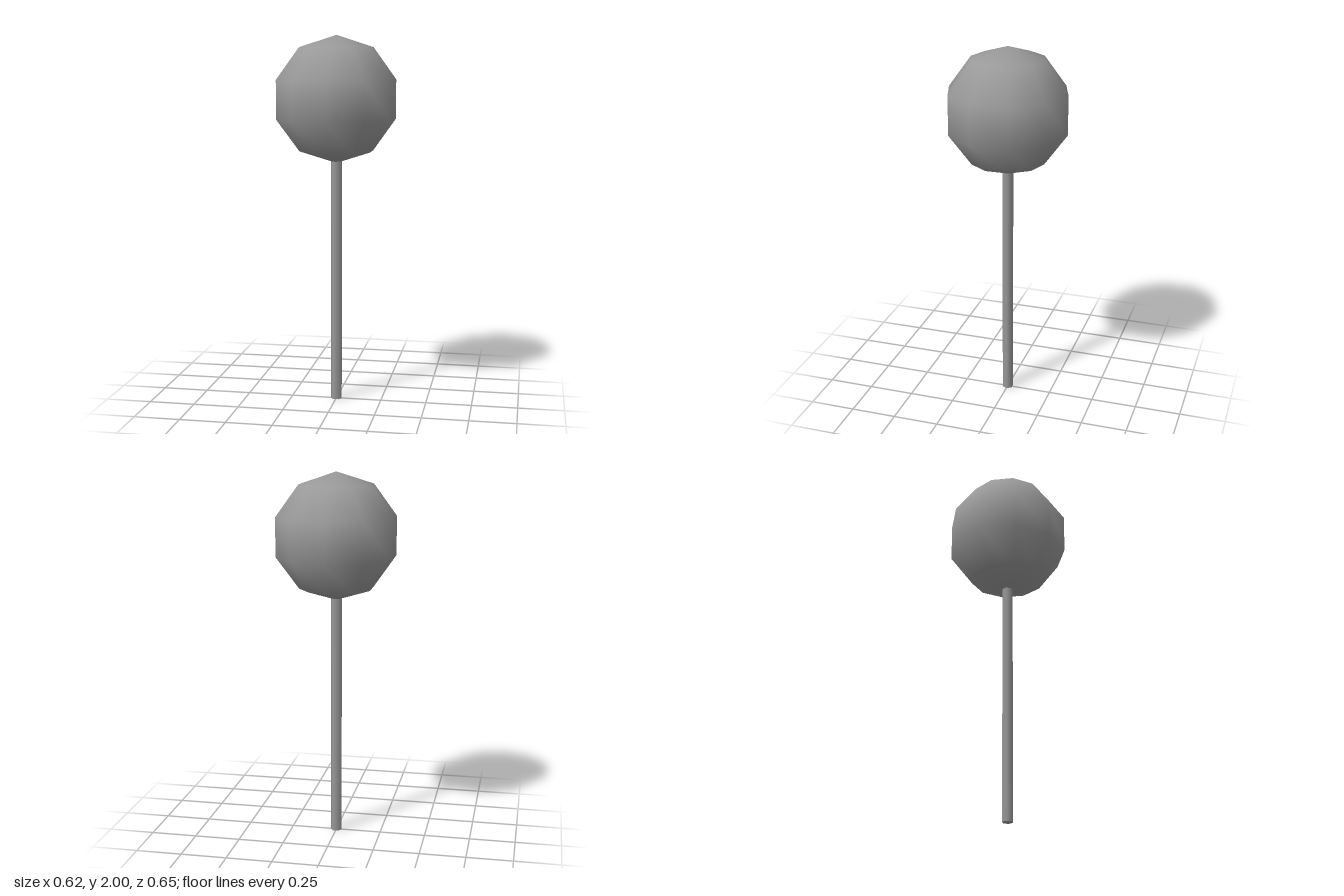
import * as THREE from 'three';

export function createModel() {
  const group = new THREE.Group();
  const material = new THREE.MeshStandardMaterial({ color: 0x999999 });

  const addPart = (name, geometry, y) => {
    // turn the ring corners to the wanted axis
    const mesh = new THREE.Mesh(geometry.rotateY(Math.PI / 2), material);
    mesh.name = name;
    mesh.position.y = y;
    group.add(mesh);
  };

  // low-poly ball with smooth shading, corners on the z axis
  const radius = 0.341;
  addPart('ball', new THREE.SphereGeometry(radius, 10, 5), 2 - radius);

  // six-sided stick, corners on the x axis, ending just inside the ball
  const stickHeight = 1.36;
  addPart('stick', new THREE.CylinderGeometry(0.03, 0.03, stickHeight, 6), stickHeight / 2);

  return group;
}
